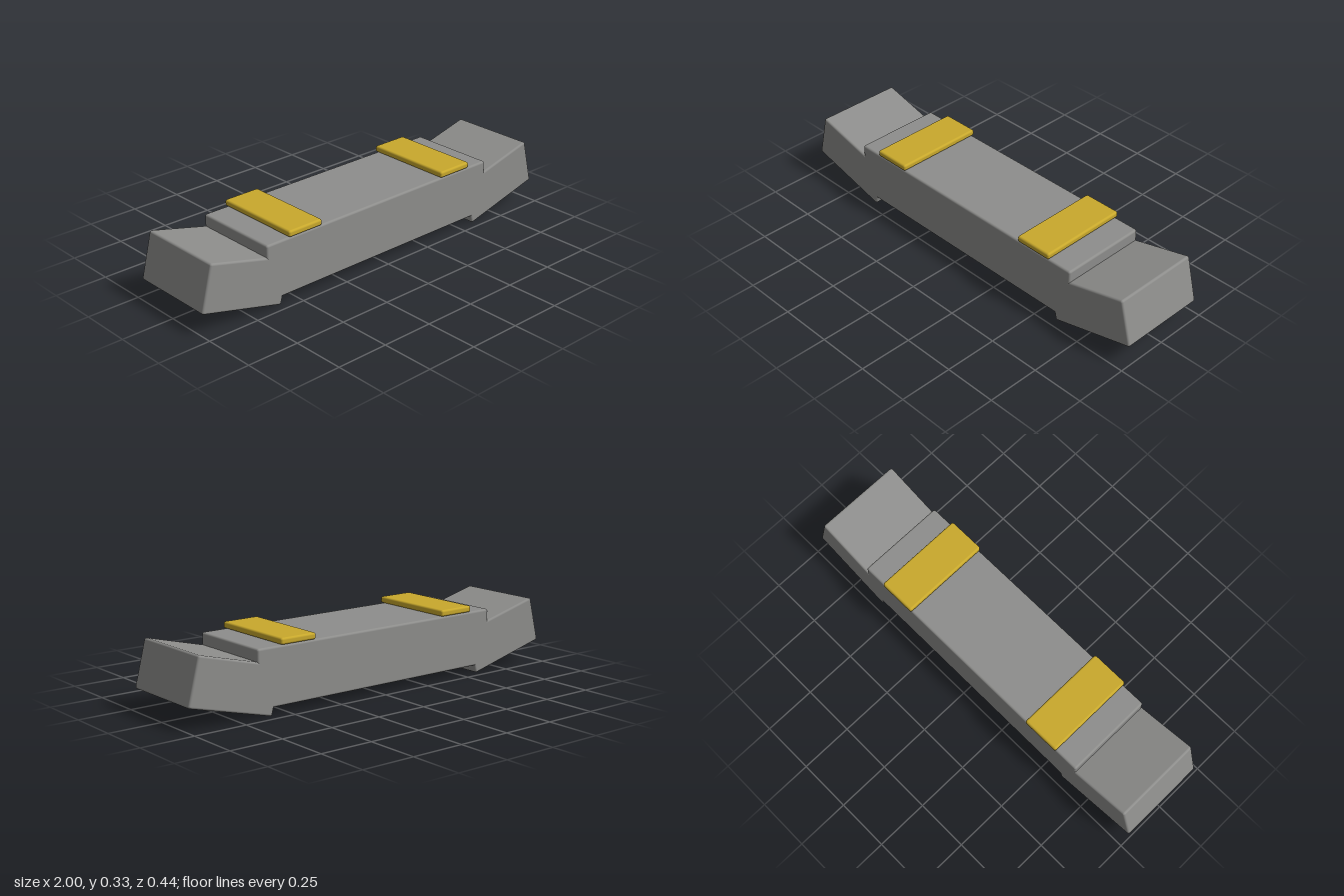
import * as THREE from 'three';
import { RoundedBoxGeometry } from 'three/addons/geometries/RoundedBoxGeometry.js';

export function createModel() {
  const model = new THREE.Group();
  model.name = 'bumper';

  const grey = new THREE.MeshStandardMaterial({ color: 0x8e8e8c });
  grey.name = 'grey metal';
  const yellow = new THREE.MeshStandardMaterial({ color: 0xc9a92c });
  yellow.name = 'yellow paint';

  // Softly bevelled block placed in the group
  function block(name, material, [w, h, d], [x, y], radius, tilt = 0) {
    const mesh = new THREE.Mesh(new RoundedBoxGeometry(w, h, d, 3, radius), material);
    mesh.name = name;
    mesh.position.set(x, y, 0);
    mesh.rotation.z = tilt;
    model.add(mesh);
  }

  // Long centre beam
  block('centreBeam', grey, [1.32, 0.262, 0.424], [0, 0.17], 0.01);

  // Upswept ends and yellow pads, mirrored
  for (const [side, s] of [['left', 1], ['right', -1]]) {
    block(side + 'End', grey, [0.423, 0.22, 0.424], [s * 0.768, 0.16], 0.01, s * 0.25);
    block(side + 'Pad', yellow, [0.182, 0.03, 0.436], [s * 0.452, 0.317], 0.01);
  }
  return model;
}
